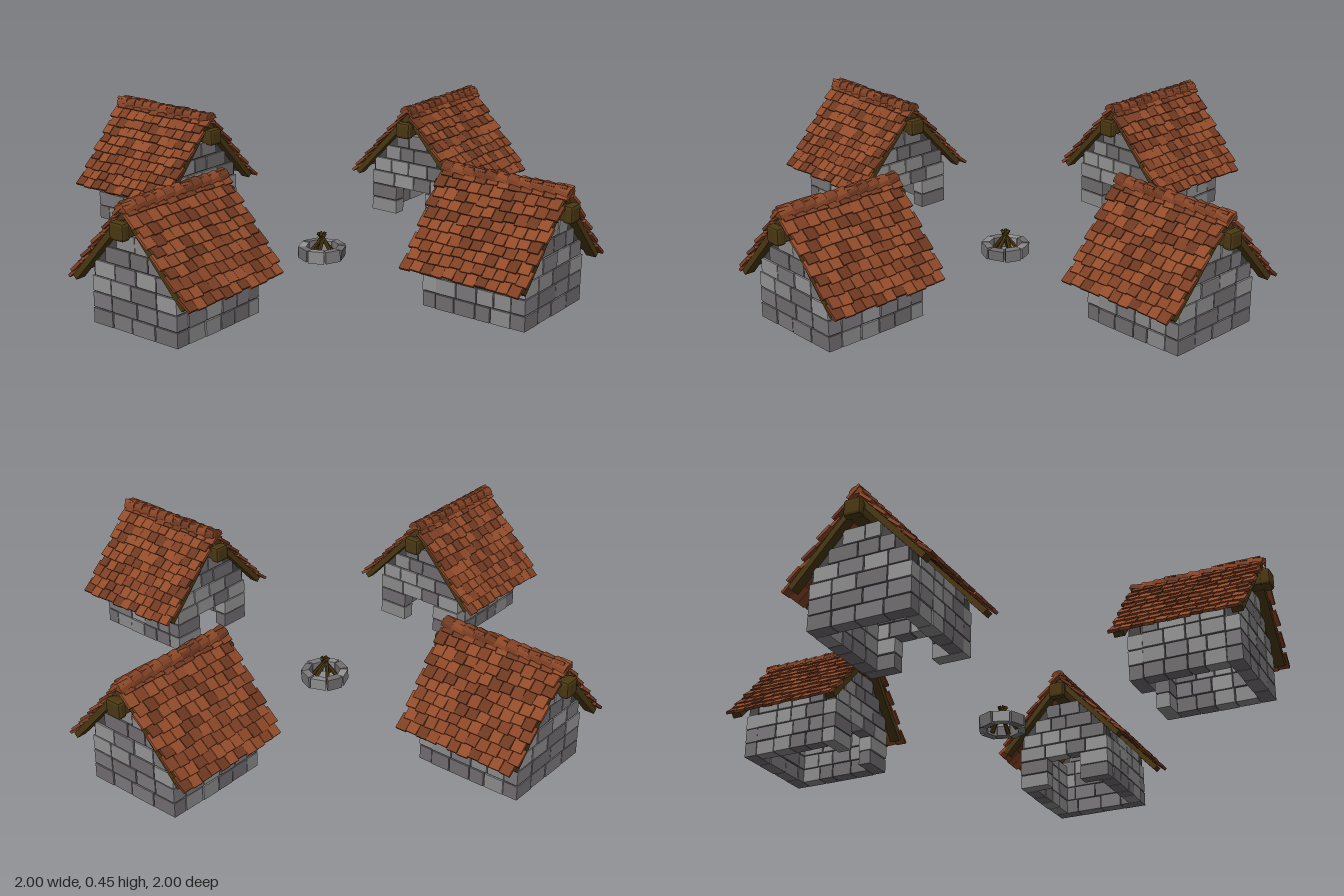
import * as THREE from 'three';
import { mergeGeometries } from 'three/addons/utils/BufferGeometryUtils.js';
import { RoundedBoxGeometry } from 'three/addons/geometries/RoundedBoxGeometry.js';

const STONE = [0x8c8c8c, 0x7b787b, 0x969696, 0x716d70];
const TILE = [0x8a4627, 0x7d3f24, 0x934c2b, 0x6e3820];
const WOOD = 0x4a3813, MORTAR = 0x484646;
const ROW = 0.054, HALF_W = 0.18, HALF_D = 0.19, WALL = 0.05;
const APEX = 0.428, SLOPE = 0.83, SLOPE_LEN = 0.38;
const DOOR_W = 0.065, DOOR_ROWS = 2;

let seed = 7;
const rand = () => (seed = (seed * 16807) % 2147483647) / 2147483647;
const jitter = (a) => (rand() - 0.5) * 2 * a;
const box = (w, h, d, x = 0, y = 0, z = 0) => new THREE.BoxGeometry(w, h, d).translate(x, y, z);

function mesh(name, geometry, color) {
  const m = new THREE.Mesh(geometry, new THREE.MeshStandardMaterial({ color, flatShading: true }));
  m.name = name;
  return m;
}

// Sorts pieces into one merged mesh per colour
function patchwork(name, pieces, palette) {
  const group = new THREE.Group();
  group.name = name;
  palette.forEach((color, i) => {
    const list = pieces.filter((p) => p.tone === i).map((p) => p.geometry);
    if (list.length) group.add(mesh(name + 'Tone' + (i + 1), mergeGeometries(list), color));
  });
  return group;
}
const piece = (geometry) => ({ geometry, tone: Math.floor(rand() * 4) });

// Fills one course from a to b with blocks of uneven length
function course(out, a, b, y, h, place) {
  const n = Math.max(1, Math.round((b - a) / 0.078));
  const cuts = [a];
  for (let i = 1; i < n; i++) cuts.push(a + ((b - a) * i) / n + jitter(0.014));
  cuts.push(b);
  for (let i = 0; i < n; i++) {
    const w = cuts[i + 1] - cuts[i];
    const g = box(w - 0.004, h - 0.004, WALL + jitter(0.003), (cuts[i] + cuts[i + 1]) / 2, y + h / 2, 0);
    out.push(piece(place(g)));
  }
}

function buildWalls() {
  const blocks = [];
  // Gable walls, the one at -z with a doorway
  for (const end of [-1, 1]) {
    const place = (g) => g.translate(0, 0, end * (HALF_D - WALL / 2));
    for (let r = 0; r < 6; r++) {
      const half = Math.min(HALF_W, (0.4 - (r + 1) * ROW) * 0.91);
      if (end < 0 && r < DOOR_ROWS) {
        course(blocks, -half, -DOOR_W, r * ROW, ROW, place);
        course(blocks, DOOR_W, half, r * ROW, ROW, place);
      } else {
        const shift = r % 2 ? 0.012 : -0.012;
        course(blocks, -half, shift, r * ROW, ROW, place);
        course(blocks, shift, half, r * ROW, ROW, place);
      }
    }
  }
  // Long side walls
  const inner = HALF_D - WALL;
  for (const side of [-1, 1]) {
    for (let r = 0; r < 4; r++) {
      course(blocks, -inner, inner, r * ROW, r < 3 ? ROW : 0.036,
        (g) => g.rotateY(Math.PI / 2).translate(side * (HALF_W - WALL / 2), 0, 0));
    }
  }
  return patchwork('stoneWalls', blocks, STONE);
}

function buildMortar() {
  const w = HALF_W - 0.006, t = WALL - 0.012, doorTop = DOOR_ROWS * ROW + 0.005, d = DOOR_W + 0.006;
  const roofEdge = [[w, 0.195], [0.066, 0.318], [-0.066, 0.318], [-w, 0.195], [-w, 0.003]];
  const outlines = {
    1: [[-w, 0.003], [w, 0.003], ...roofEdge.slice(0, 4)],
    '-1': [[d, 0.003], [w, 0.003], ...roofEdge, [-d, 0.003], [-d, doorTop], [d, doorTop]],
  };
  const parts = [];
  for (const end of [-1, 1]) {
    const shape = new THREE.Shape(outlines[end].map(([x, y]) => new THREE.Vector2(x, y)));
    parts.push(new THREE.ExtrudeGeometry(shape, { depth: t, bevelEnabled: false })
      .translate(0, 0, end * (HALF_D - WALL / 2) - t / 2).toNonIndexed === undefined ? null :
      new THREE.ExtrudeGeometry(shape, { depth: t, bevelEnabled: false })
        .translate(0, 0, end * (HALF_D - WALL / 2) - t / 2));
    parts.push(box(t, 0.19, 2 * (HALF_D - WALL), end * (HALF_W - WALL / 2), 0.098, 0).toNonIndexed());
  }
  return mesh('mortar', mergeGeometries(parts), MORTAR);
}

// Moves a piece laid along +x onto the left or right roof slope
function ontoSlope(g, side) {
  if (side < 0) g.rotateY(Math.PI);
  return g.rotateZ(-side * SLOPE).translate(0, APEX, 0);
}

function buildRoof() {
  const tiles = [], rows = 10, cols = 11, step = SLOPE_LEN / rows;
  for (const side of [-1, 1]) {
    for (let r = 0; r < rows; r++) {
      const half = 0.232 - 0.014 * (r / rows);
      const w = (2 * half) / cols;
      for (let c = 0; c < cols; c++) {
        const z = -half + (c + 0.5) * w + (r % 2 ? 0.006 : -0.006);
        const g = box(step * 1.5, 0.01, w * 0.95)
          .rotateX(jitter(0.06)).rotateY(jitter(0.05)).rotateZ(0.13 + jitter(0.03))
          .translate((r + 0.36) * step + jitter(0.004), 0, z);
        tiles.push(piece(ontoSlope(g, side)));
      }
    }
  }
  // Overlapping ridge caps, each tipped up at one end
  for (let i = 0; i < 11; i++) {
    const cap = new THREE.CylinderGeometry(0.026, 0.026, 0.052, 6, 1, false, -Math.PI / 2, Math.PI)
      .rotateX(-Math.PI / 2).rotateZ(Math.PI);
    cap.computeBoundingBox();
    if (cap.boundingBox.max.y < 0.01) cap.rotateZ(Math.PI);
    tiles.push(piece(cap.rotateX(0.16 + jitter(0.04)).translate(0, APEX - 0.013, -0.208 + i * 0.0415)));
  }
  return patchwork('roofTiles', tiles, TILE);
}

function buildTimber() {
  const group = new THREE.Group();
  group.name = 'timberFrame';
  // Ridge beam with thicker ends
  const beam = mesh('ridgeBeam', new RoundedBoxGeometry(0.05, 0.05, 0.5, 1, 0.008), WOOD);
  beam.position.y = 0.355;
  group.add(beam);
  for (const end of [-1, 1]) {
    const cap = mesh('beamEnd', new RoundedBoxGeometry(0.06, 0.06, 0.035, 1, 0.01), WOOD);
    cap.position.set(0, 0.355, end * 0.2385);
    group.add(cap);
    for (const side of [-1, 1]) {
      const g = box(SLOPE_LEN - 0.03, 0.02, 0.036, SLOPE_LEN / 2 - 0.002, -0.018, 0);
      group.add(mesh('rafter', ontoSlope(g, side).translate(0, 0, end * 0.198), WOOD));
    }
  }
  return group;
}

function buildHut() {
  const hut = new THREE.Group();
  hut.name = 'hut';
  hut.add(buildMortar(), buildWalls(), buildRoof(), buildTimber());
  return hut;
}

function buildCampfire() {
  const fire = new THREE.Group();
  fire.name = 'campfire';
  // Ring of eight wedge-shaped stones
  const stones = [];
  for (let i = 0; i < 8; i++) {
    const g = box(0.058, 0.042 + jitter(0.005), 0.026);
    const p = g.attributes.position;
    for (let v = 0; v < p.count; v++) if (p.getZ(v) < 0) p.setX(v, p.getX(v) * 0.72);
    g.rotateX(jitter(0.08)).translate(0, 0.023, 0.066).rotateY(((i + 0.5) * Math.PI) / 4);
    stones.push(piece(g));
  }
  fire.add(patchwork('stoneRing', stones, STONE));
  // Leaning logs that cross at the top
  for (let i = 0; i < 5; i++) {
    const a = (i * Math.PI * 2) / 5 + 0.3;
    const foot = new THREE.Vector3(Math.cos(a) * 0.05, 0.008, Math.sin(a) * 0.05);
    const tip = new THREE.Vector3(-Math.cos(a + 0.5) * 0.014, 0.09, -Math.sin(a + 0.5) * 0.014);
    const log = mesh('log', new THREE.CylinderGeometry(0.006, 0.008, foot.distanceTo(tip), 6), WOOD);
    log.position.copy(foot).lerp(tip, 0.5);
    log.quaternion.setFromUnitVectors(new THREE.Vector3(0, 1, 0), tip.sub(foot).normalize());
    fire.add(log);
  }
  fire.position.set(-0.01, 0, 0.01);
  return fire;
}

export function createModel() {
  seed = 7;
  const model = new THREE.Group();
  model.name = 'hutCamp';
  // Four huts around the fire, doorways facing inward
  const hut = buildHut();
  for (let k = 0; k < 4; k++) {
    const copy = hut.clone();
    const a = (k * Math.PI) / 2;
    copy.position.set(Math.sin(a) * 0.744, 0, Math.cos(a) * 0.744);
    copy.rotation.y = a;
    model.add(copy);
  }
  model.add(buildCampfire());
  return model;
}
